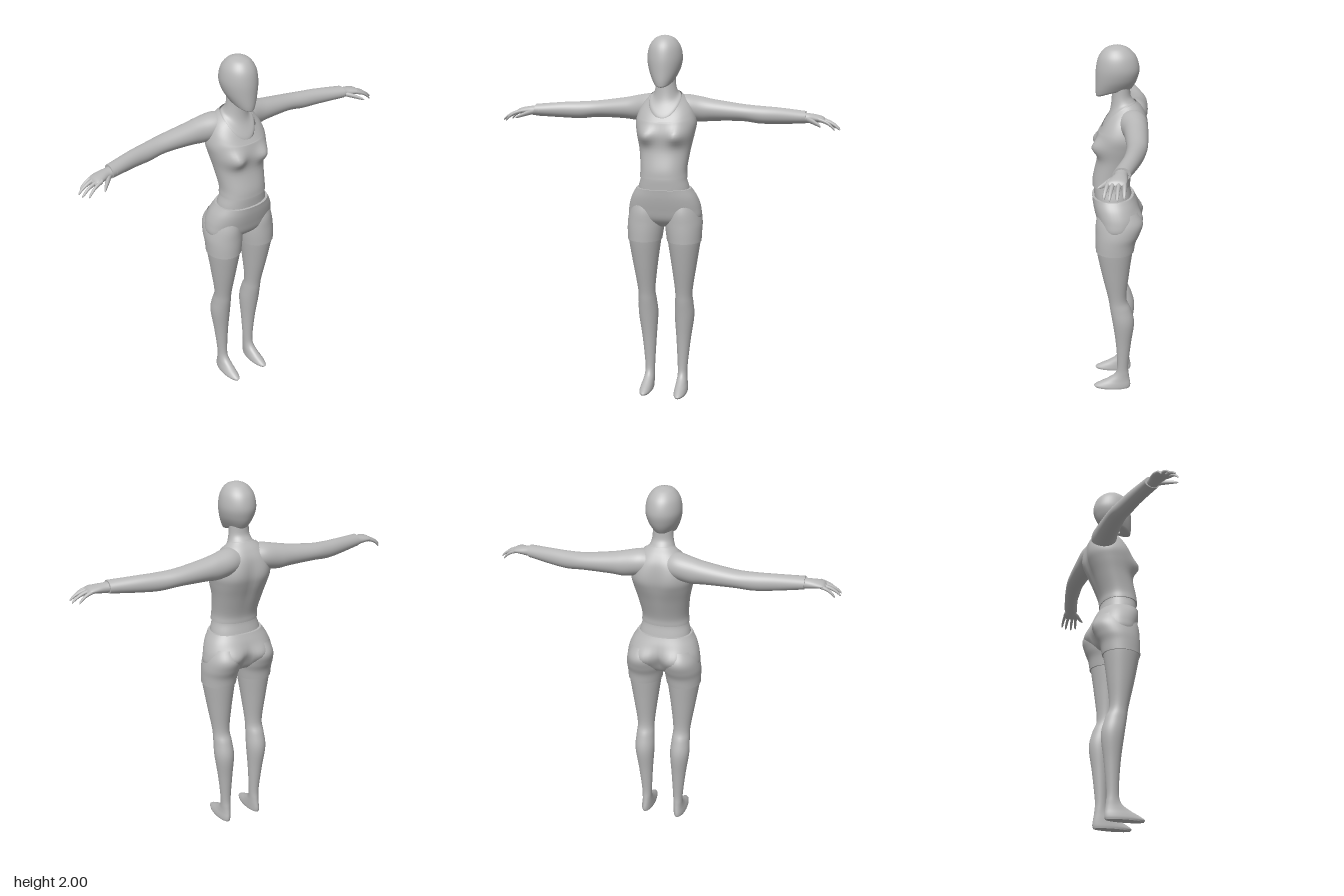
import * as THREE from 'three';

const grey = new THREE.MeshStandardMaterial({ color: 0xb8b8b8, side: THREE.DoubleSide });
grey.name = 'mannequin grey';

// Smooth skin through oval sections [position, centre, radius, zFront, zBack, frontDip].
// Sections run upward, or sideways along x when opt.sideways is set.
// opt.bumps: soft swellings [x, y, facing, amount, widthX, widthY], mirrored in x.
function loft(sections, opt = {}) {
  const { sides = 40, steps = 5, square = 1, sideways, mirror, bumps = [], capStart, capEnd } = opt;
  const flat = sections.flatMap(s => [...s, 0].slice(0, 6));
  const curve = new THREE.CubicInterpolant(sections.map((_, i) => i), flat, 6, new Float32Array(6));
  const rows = (sections.length - 1) * steps + 1;
  const pos = [], index = [];
  const soft = v => Math.sign(v) * Math.abs(v) ** square;

  for (let i = 0; i < rows; i++) {
    const [p, c, r, zf, zb, dip] = curve.evaluate(i / steps);
    for (let j = 0; j < sides; j++) {
      const a = j / sides * Math.PI * 2, cos = Math.cos(a);
      const u = c + r * soft(Math.sin(a));
      const h = p - dip * ((1 + cos) / 2) ** 2;
      let z = (zf + zb) / 2 + (zf - zb) / 2 * soft(cos);
      for (const [bx, by, face, amount, wx, wy] of bumps) {
        const facing = Math.max(0, Math.min(1, cos * face * 2));
        for (const s of bx ? [-1, 1] : [1])
          z += face * facing * amount * Math.exp(-(((u - s * bx) / wx) ** 2) - ((h - by) / wy) ** 2);
      }
      pos.push(sideways ? h : u, sideways ? u : h, z);
    }
  }
  const flip = !!sideways !== !!mirror;
  const tri = (a, b, c) => flip ? index.push(a, c, b) : index.push(a, b, c);
  for (let i = 0; i < rows - 1; i++) for (let j = 0; j < sides; j++) {
    const k = (j + 1) % sides, a = i * sides, b = a + sides;
    tri(a + j, a + k, b + k);
    tri(a + j, b + k, b + j);
  }
  // Flat end caps with their own vertices, so the rim stays sharp
  const cap = (row, up) => {
    const start = pos.length / 3, mid = [0, 0, 0];
    for (let j = 0; j < sides; j++) for (let n = 0; n < 3; n++) {
      const v = pos[(row * sides + j) * 3 + n];
      pos.push(v);
      mid[n] += v / sides;
    }
    pos.push(...mid);
    for (let j = 0; j < sides; j++) {
      const a = start + j, b = start + (j + 1) % sides;
      up ? tri(a, b, start + sides) : tri(b, a, start + sides);
    }
  };
  if (capStart) cap(0, false);
  if (capEnd) cap(rows - 1, true);
  if (mirror) for (let i = 0; i < pos.length; i += 3) pos[i] *= -1;

  const g = new THREE.BufferGeometry();
  g.setAttribute('position', new THREE.Float32BufferAttribute(pos, 3));
  g.setIndex(index);
  g.computeVertexNormals();
  return g;
}

export function createModel() {
  const model = new THREE.Group();
  model.name = 'mannequin';
  const add = (name, sections, opt) => {
    const mesh = new THREE.Mesh(loft(sections, opt), grey);
    mesh.name = name;
    model.add(mesh);
  };

  // Head with a smooth face and a forward chin
  add('head', [
    [1.770, 0, 0.015, 0.06, 0.01, 0.03], [1.768, 0, 0.045, 0.115, -0.045, 0.036],
    [1.790, 0, 0.062, 0.126, -0.07, 0.04], [1.830, 0, 0.083, 0.127, -0.09, 0.02],
    [1.880, 0, 0.093, 0.124, -0.10, 0], [1.940, 0, 0.083, 0.110, -0.084, 0],
    [1.980, 0, 0.056, 0.080, -0.048, 0], [1.996, 0, 0.025, 0.042, -0.012, 0],
    [2.000, 0, 0.001, 0.016, 0.014, 0]], { steps: 6 });

  // Neck and upper chest inside the neckline
  add('neck', [
    [1.690, 0, 0.092, 0.092, -0.09, 0.14], [1.703, 0, 0.084, 0.092, -0.08, 0.125],
    [1.712, 0, 0.066, 0.055, -0.072, 0.06], [1.740, 0, 0.055, 0.043, -0.055, 0.01],
    [1.800, 0, 0.052, 0.045, -0.052, 0]]);

  // Fitted shirt body
  add('shirt', [
    [1.25, 0, 0.130, 0.150, -0.055], [1.30, 0, 0.127, 0.145, -0.062],
    [1.40, 0, 0.140, 0.123, -0.100], [1.48, 0, 0.157, 0.126, -0.132],
    [1.54, 0, 0.165, 0.115, -0.145], [1.62, 0, 0.148, 0.110, -0.138, 0.07],
    [1.67, 0, 0.122, 0.104, -0.115, 0.11], [1.705, 0, 0.088, 0.098, -0.085, 0.135]],
  { sides: 56, square: 0.9, capStart: true, bumps: [
    [0.085, 1.475, 1, 0.036, 0.045, 0.045], [0.085, 1.56, -1, 0.012, 0.05, 0.08],
    [0, 1.5, -1, -0.008, 0.025, 0.12]] });

  // Bare waist between shirt and shorts
  add('waist', [
    [1.16, 0, 0.145, 0.138, -0.068], [1.20, 0, 0.138, 0.140, -0.06],
    [1.24, 0, 0.126, 0.142, -0.052], [1.27, 0, 0.122, 0.140, -0.05]], { square: 0.9 });

  // Hips of the shorts
  add('shortsHips', [
    [0.965, 0, 0.02, 0.03, -0.03], [0.98, 0, 0.13, 0.075, -0.06],
    [1.02, 0, 0.198, 0.115, -0.088], [1.08, 0, 0.199, 0.133, -0.108],
    [1.14, 0, 0.180, 0.146, -0.096], [1.19, 0, 0.150, 0.152, -0.075]],
  { sides: 56, square: 0.88, capEnd: true, bumps: [
    [0.09, 1.06, -1, 0.028, 0.06, 0.055], [0, 1.04, -1, -0.022, 0.022, 0.06]] });

  for (const mirror of [false, true]) {
    const side = mirror ? 'right' : 'left';

    // Legs of the shorts
    add(side + 'ShortsLeg', [
      [0.895, 0.111, 0.095, 0.130, -0.078], [0.95, 0.108, 0.100, 0.131, -0.088],
      [1.00, 0.105, 0.103, 0.130, -0.110], [1.06, 0.102, 0.095, 0.128, -0.126],
      [1.12, 0.098, 0.078, 0.115, -0.095]], { mirror, capStart: true });

    // Bare leg and foot, toe pointing forward
    add(side + 'Leg', [
      [0.000, 0.100, 0.034, 0.145, -0.058], [0.012, 0.100, 0.036, 0.150, -0.062],
      [0.030, 0.099, 0.034, 0.122, -0.062], [0.055, 0.097, 0.030, 0.072, -0.058],
      [0.090, 0.096, 0.027, 0.026, -0.053], [0.150, 0.096, 0.029, 0.014, -0.050],
      [0.300, 0.100, 0.041, 0.022, -0.065], [0.440, 0.105, 0.055, 0.040, -0.082],
      [0.530, 0.106, 0.051, 0.054, -0.062], [0.600, 0.107, 0.049, 0.064, -0.038],
      [0.750, 0.110, 0.069, 0.097, -0.052], [0.900, 0.111, 0.091, 0.126, -0.072],
      [0.940, 0.110, 0.092, 0.124, -0.076]], { mirror, capStart: true });

    // Long sleeve from shoulder to cuff
    add(side + 'Sleeve', [
      [0.040, 1.615, 0.060, 0.000, -0.125], [0.100, 1.615, 0.070, 0.005, -0.143],
      [0.180, 1.604, 0.068, -0.018, -0.147], [0.250, 1.600, 0.058, -0.028, -0.147],
      [0.400, 1.591, 0.046, -0.040, -0.142], [0.500, 1.583, 0.047, -0.033, -0.125],
      [0.600, 1.583, 0.043, -0.018, -0.102], [0.745, 1.583, 0.033, 0.020, -0.063]],
    { mirror, sideways: true, capEnd: true });

    // Palm and wrist
    add(side + 'Hand', [
      [0.720, 1.582, 0.028, 0.014, -0.056], [0.760, 1.580, 0.026, 0.014, -0.050],
      [0.800, 1.580, 0.021, 0.030, -0.050], [0.835, 1.577, 0.015, 0.042, -0.046],
      [0.852, 1.572, 0.002, 0.030, -0.034]], { mirror, sideways: true, sides: 24 });

    // Four drooping fingers: base z, tip z, tip x
    [[-0.036, -0.036, 0.900], [-0.012, -0.005, 0.925], [0.012, 0.030, 0.924], [0.032, 0.054, 0.900]]
      .forEach(([z0, z1, tip], n) => {
        const rows = [[0, 1.580, 0.011], [0.45, 1.567, 0.0095], [0.75, 1.551, 0.008],
          [0.95, 1.534, 0.006], [1, 1.528, 0.001]];
        add(`${side}Finger${n + 1}`, rows.map(([t, y, r]) => {
          const z = z0 + (z1 - z0) * t;
          return [0.815 + (tip - 0.815) * t, y, r, z + r, z - r];
        }), { mirror, sideways: true, sides: 12, steps: 3 });
      });

    // Thumb
    add(side + 'Thumb', [
      [0.755, 1.575, 0.014, 0.015, -0.02], [0.785, 1.567, 0.013, 0.046, 0.012],
      [0.810, 1.558, 0.010, 0.068, 0.044], [0.825, 1.552, 0.007, 0.082, 0.066],
      [0.831, 1.549, 0.001, 0.085, 0.082]], { mirror, sideways: true, sides: 14, steps: 3 });
  }
  return model;
}
